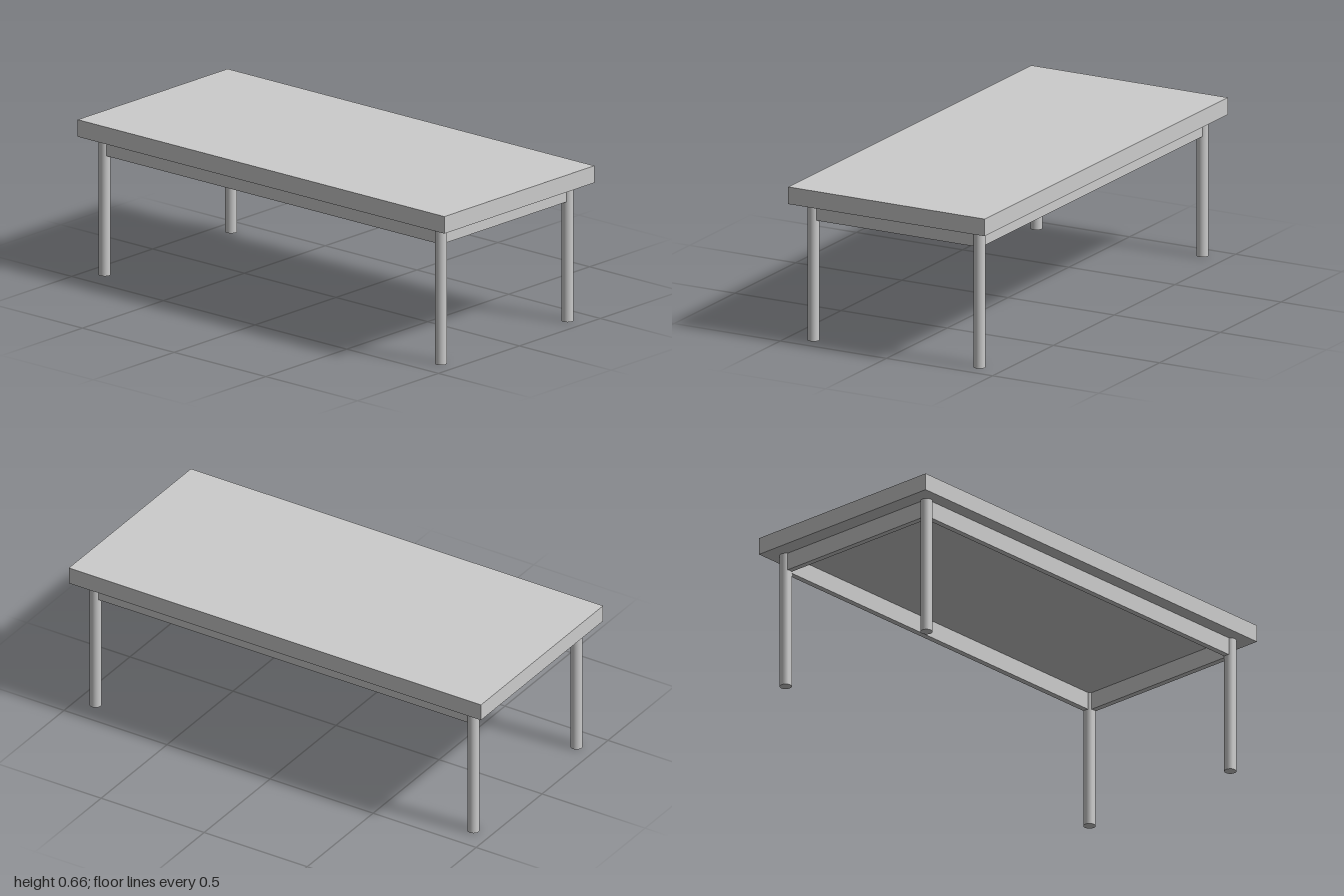
import * as THREE from 'three';

export function createModel() {
  const model = new THREE.Group();
  const material = new THREE.MeshStandardMaterial({ color: 0xcccccc });

  const topY = 0.663, underY = 0.59, railY = 0.515; // heights of slab top, slab underside, rail bottom
  const legX = 0.917, legZ = 0.391, legR = 0.025, railT = 0.025;

  function add(name, geometry, x, y, z) {
    const mesh = new THREE.Mesh(geometry, material);
    mesh.name = name;
    mesh.position.set(x, y, z);
    model.add(mesh);
  }

  // Table top slab
  add('tableTop', new THREE.BoxGeometry(2, topY - underY, 0.926), 0, (topY + underY) / 2, 0);

  // Four round legs
  const leg = new THREE.CylinderGeometry(legR, legR, underY, 32);
  for (const [sx, side] of [[1, 'Left'], [-1, 'Right']])
    for (const [sz, end] of [[1, 'front'], [-1, 'back']])
      add(`${end}${side}Leg`, leg, sx * legX, underY / 2, sz * legZ);

  // Apron rails running between the legs
  const railH = underY - railY, y = (underY + railY) / 2, inset = 0.04;
  const longRail = new THREE.BoxGeometry(2 * legX - inset, railH, railT);
  const endRail = new THREE.BoxGeometry(railT, railH, 2 * legZ - inset);
  add('frontRail', longRail, 0, y, legZ);
  add('backRail', longRail, 0, y, -legZ);
  add('leftRail', endRail, legX, y, 0);
  add('rightRail', endRail, -legX, y, 0);

  return model;
}
